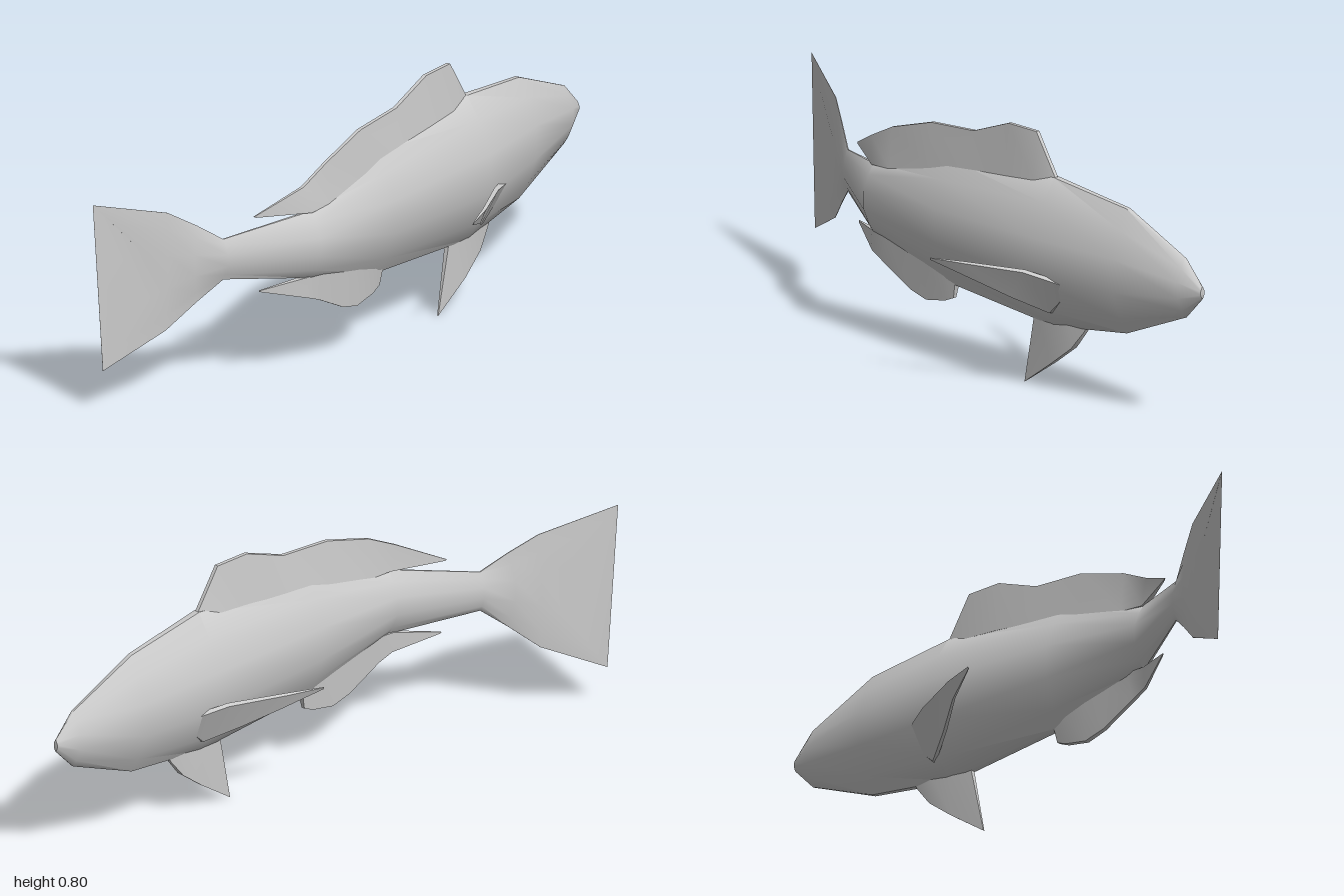
import * as THREE from 'three';
import { toCreasedNormals } from 'three/addons/utils/BufferGeometryUtils.js';

// Spine of the swimming fish: z as a function of x (the tail swings back)
const SPINE = [[-1, -0.303], [-0.8, -0.2], [-0.63, -0.09], [-0.38, 0.048],
  [-0.05, 0.05], [0.4, 0.052], [0.69, 0.035], [1, 0.03]];
function spineZ(x) {
  let i = 0;
  while (i < SPINE.length - 2 && x > SPINE[i + 1][0]) i++;
  const [x0, z0] = SPINE[i], [x1, z1] = SPINE[i + 1];
  return z0 + (z1 - z0) * (x - x0) / (x1 - x0);
}

// Skin a list of equal-length rings, capping both ends
function loft(name, rings, crease, flip = false) {
  const n = rings[0].length, last = (rings.length - 1) * n, index = [];
  const tri = (a, b, c) => index.push(a, flip ? c : b, flip ? b : c);
  for (let s = 0; s < rings.length - 1; s++) {
    for (let k = 0; k < n; k++) {
      const a = s * n + k, b = s * n + (k + 1) % n;
      tri(a, a + n, b);
      tri(b, a + n, b + n);
    }
  }
  for (let k = 1; k < n - 1; k++) {
    tri(0, k, k + 1);
    tri(last, last + k + 1, last + k);
  }
  const geo = new THREE.BufferGeometry();
  geo.setAttribute('position', new THREE.Float32BufferAttribute(rings.flat(2), 3));
  geo.setIndex(index);
  const mesh = new THREE.Mesh(toCreasedNormals(geo, crease),
    new THREE.MeshStandardMaterial({ color: 0xcccccc, side: THREE.DoubleSide }));
  mesh.name = name;
  return mesh;
}

// Ten-sided section: [height from -1 to 1, width from -1 to 1]
const half = [[1, 0.1], [0.7, 0.55], [0.27, 1], [-0.28, 1], [-0.74, 0.5], [-1, 0.1]];
const PROFILE = [...half, ...half.slice().reverse().map(([v, w]) => [v, -w])];

// Section through top, middle and bottom points, with a half width
function bodyRing([top, mid, bottom, width]) {
  return PROFILE.map(([v, w]) => {
    const end = v > 0 ? top : bottom, t = Math.abs(v);
    const x = mid[0] + (end[0] - mid[0]) * t;
    const y = mid[1] + (end[1] - mid[1]) * t;
    return [x, y, spineZ(x) + w * width];
  });
}

// Upright fin from pairs of upper and lower points: [x, y, half thickness]
function midFin(name, pairs) {
  return loft(name, pairs.map(([u, l]) =>
    [[u, 1], [l, 1], [l, -1], [u, -1]].map(([p, s]) => [p[0], p[1], spineZ(p[0]) + s * p[2]])), 0.6);
}

// Side fin from pairs of upper and lower 3D points plus a half thickness
function sideFin(name, pairs, mirrored) {
  const normal = [0.33, -0.45, 0.83];
  return loft(name, pairs.map(([u, l, t]) =>
    [[u, 1], [l, 1], [l, -1], [u, -1]].map(([p, s]) => {
      const q = p.map((c, i) => c + normal[i] * s * t);
      if (mirrored) q[2] = 0.102 - q[2];
      return q;
    })), 0.6, mirrored);
}

export function createModel() {
  const fish = new THREE.Group();
  fish.name = 'fish';

  // Body from snout to tail root: x, top, bottom, half width
  const stations = [
    [1, 0.457, 0.418, 0.008], [0.93, 0.53, 0.345, 0.036], [0.69, 0.636, 0.245, 0.072],
    [0.4, 0.675, 0.208, 0.1], [-0.05, 0.635, 0.245, 0.074], [-0.38, 0.548, 0.333, 0.045],
    [-0.63, 0.505, 0.375, 0.02],
  ].map(([x, t, b, w]) => [[x, t], [x, (t + b) / 2], [x, b], w]);
  // Forked tail continues the same skin: top, middle, bottom, half width
  const tail = [
    [[-0.7, 0.56], [-0.72, 0.435], [-0.7, 0.315], 0.013],
    [[-0.78, 0.615], [-0.785, 0.43], [-0.785, 0.235], 0.009],
    [[-1, 0.682], [-0.795, 0.43], [-0.97, 0.14], 0.002],
  ];
  fish.add(loft('bodyAndTail', [...stations, ...tail].map(bodyRing), 1.0));

  // Dorsal fin: edge above, root below
  fish.add(midFin('dorsalFin', [
    [[0.4, 0.675, 0.006], [0.395, 0.64, 0.012]],
    [[0.32, 0.802, 0.006], [0.32, 0.65, 0.02]],
    [[0.2, 0.802, 0.006], [0.2, 0.64, 0.02]],
    [[0.05, 0.745, 0.006], [0.05, 0.62, 0.02]],
    [[-0.13, 0.732, 0.006], [-0.13, 0.59, 0.02]],
    [[-0.3, 0.68, 0.005], [-0.3, 0.55, 0.016]],
    [[-0.4, 0.63, 0.005], [-0.38, 0.545, 0.012]],
    [[-0.54, 0.56, 0.002], [-0.535, 0.556, 0.002]],
  ]));

  // Anal fin: root above, edge below
  fish.add(midFin('analFin', [
    [[-0.02, 0.27, 0.012], [-0.035, 0.2, 0.006]],
    [[-0.07, 0.28, 0.018], [-0.07, 0.185, 0.008]],
    [[-0.15, 0.3, 0.018], [-0.15, 0.17, 0.008]],
    [[-0.22, 0.32, 0.016], [-0.22, 0.188, 0.007]],
    [[-0.32, 0.34, 0.013], [-0.34, 0.25, 0.006]],
    [[-0.39, 0.338, 0.01], [-0.39, 0.27, 0.005]],
    [[-0.525, 0.318, 0.002], [-0.522, 0.313, 0.002]],
  ]));

  // Pelvic fin: root above, edge below
  fish.add(midFin('pelvicFin', [
    [[0.53, 0.235, 0.008], [0.52, 0.215, 0.008]],
    [[0.46, 0.24, 0.016], [0.47, 0.152, 0.013]],
    [[0.39, 0.24, 0.016], [0.39, 0.09, 0.012]],
    [[0.315, 0.24, 0.008], [0.265, 0.003, 0.002]],
  ]));

  // Pair of pectoral fins sweeping back from behind the head
  const pectoral = [
    [[0.53, 0.37, 0.08], [0.43, 0.265, 0.065], 0.008],
    [[0.53, 0.37, 0.112], [0.42, 0.267, 0.098], 0.008],
    [[0.39, 0.405, 0.18], [0.32, 0.31, 0.165], 0.007],
    [[0.22, 0.412, 0.26], [0.22, 0.362, 0.238], 0.005],
    [[0.11, 0.412, 0.3], [0.108, 0.406, 0.298], 0.001],
  ];
  fish.add(sideFin('leftPectoralFin', pectoral, false));
  fish.add(sideFin('rightPectoralFin', pectoral, true));

  return fish;
}
